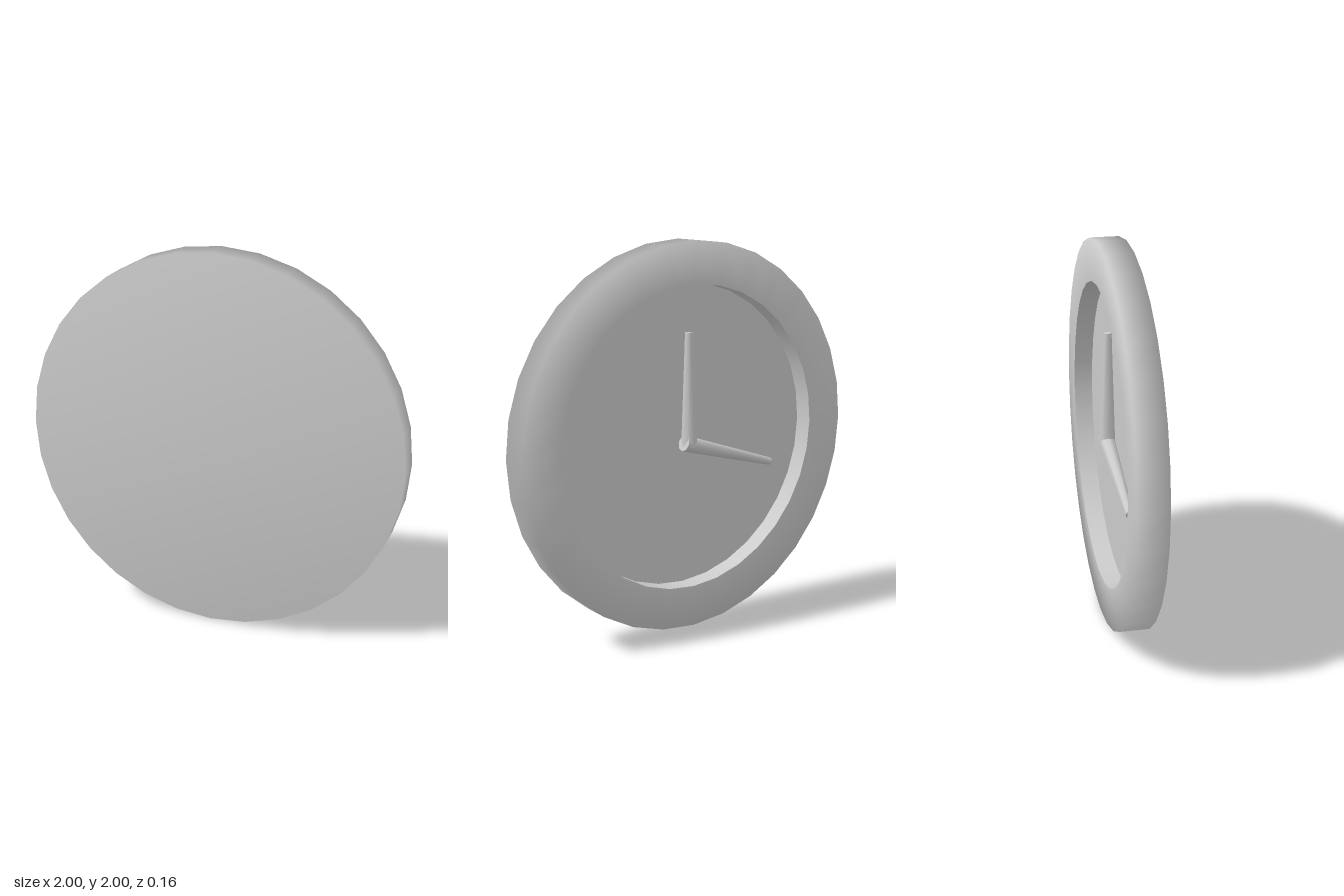
import * as THREE from 'three';

const SIDES = 32;
const RADIUS = 1;
const INNER = 0.785;   // radius of the recessed dial
const HALF = 0.075;    // half the thickness
const FLOOR = 0.025;   // depth position of the dial

export function createModel() {
  const model = new THREE.Group();
  const clock = new THREE.Group();
  clock.name = 'wallClock';
  const material = new THREE.MeshStandardMaterial({ color: 0xcccccc });

  // Turned part around the z axis; profile points are [radius, z]
  function turned(name, profile) {
    const points = profile.map(([r, z]) => new THREE.Vector2(r, z));
    const geometry = new THREE.LatheGeometry(points, SIDES).rotateX(Math.PI / 2);
    const mesh = new THREE.Mesh(geometry, material);
    mesh.name = name;
    clock.add(mesh);
  }

  // Smooth casing: rim of the dial side, outer edge and closed plate
  turned('casing', [[INNER, -HALF], [RADIUS, -HALF], [RADIUS, HALF], [0, HALF]]);
  // Recess wall and dial, facing -z
  turned('recessWall', [[INNER, FLOOR], [INNER, -HALF]]);
  turned('dial', [[0, FLOOR], [INNER, FLOOR]]);

  // Tapered hand between two points of the dial plane
  function hand(name, from, to) {
    const a = new THREE.Vector3(from[0], from[1], -0.03);
    const b = new THREE.Vector3(to[0], to[1], -0.022);
    const along = b.clone().sub(a);
    const geometry = new THREE.CylinderGeometry(0.02, 0.042, along.length(), 8);
    const mesh = new THREE.Mesh(geometry, material);
    mesh.name = name;
    mesh.position.copy(a).add(b).multiplyScalar(0.5);
    mesh.quaternion.setFromUnitVectors(new THREE.Vector3(0, 1, 0), along.normalize());
    clock.add(mesh);
  }
  hand('minuteHand', [0, -0.045], [0, 0.54]);
  hand('hourHand', [0.035, -0.025], [-0.55, -0.205]);

  // Slight lean of the whole clock
  clock.position.y = 1;
  clock.rotation.x = -0.0075;
  model.add(clock);
  return model;
}
